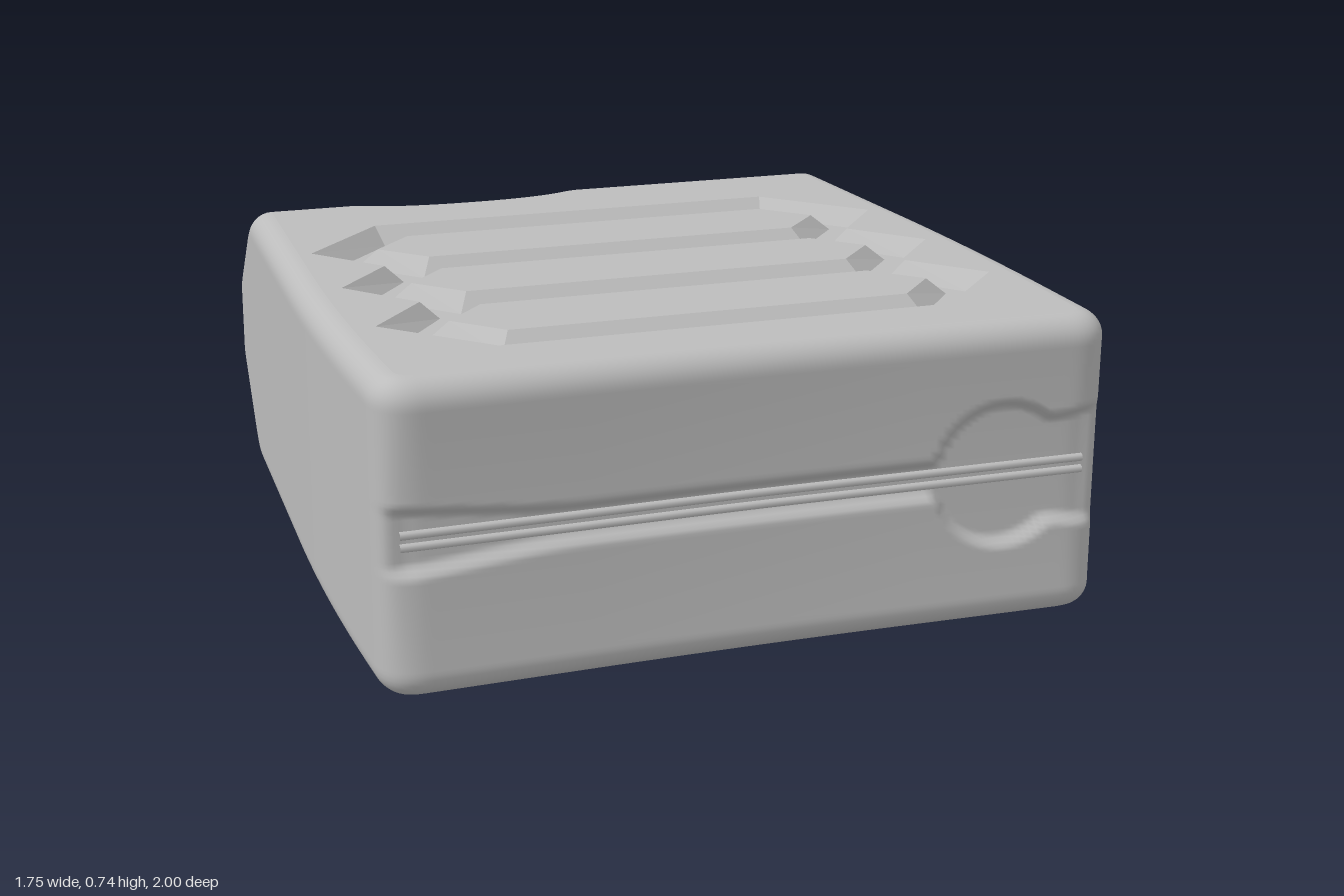
import * as THREE from 'three';
import { toCreasedNormals } from 'three/addons/utils/BufferGeometryUtils.js';
import { RoundedBoxGeometry } from 'three/addons/geometries/RoundedBoxGeometry.js';

const TOP = 0.735, MID = 0.3725, DEPTH = 0.045;
const V2 = (x, z) => new THREE.Vector2(x, z);
const smooth = THREE.MathUtils.smoothstep;

// Height of the upper face: flat, then sloping down to the handle end.
function height(z) {
  const e = 0.04, line = 0.447 + 0.9 * (z + 1), a = line - TOP;
  if (a >= e) return TOP;
  return a <= -e ? line : TOP - (e - a) ** 2 / (4 * e);
}

// Closed outline in (x, z) with softened corners; each corner is [x, z, cut].
function roundedLoop(corners, count) {
  const shape = new THREE.Shape(), n = corners.length;
  const toward = (a, b) => {
    const p = V2(a[0], a[1]), d = V2(b[0], b[1]).sub(p);
    return p.addScaledVector(d.normalize(), a[2]);
  };
  corners.forEach((c, i) => {
    const p = toward(c, corners[(i + n - 1) % n]), q = toward(c, corners[(i + 1) % n]);
    if (i) shape.lineTo(p.x, p.y); else shape.moveTo(p.x, p.y);
    shape.quadraticCurveTo(c[0], c[1], q.x, q.y);
  });
  shape.closePath();
  return shape.getSpacedPoints(count).slice(0, count);
}

// Skin between equally sized closed rings.
function skin(rings, flat) {
  const n = rings[0].length, index = [];
  for (let k = 0; k < rings.length - 1; k++) {
    for (let i = 0; i < n; i++) {
      const j = (i + 1) % n, a = k * n + i, b = k * n + j;
      index.push(a, b, a + n, b, b + n, a + n);
    }
  }
  let geo = new THREE.BufferGeometry().setFromPoints(rings.flat());
  geo.setIndex(index);
  if (flat) geo = geo.toNonIndexed();
  geo.computeVertexNormals();
  return geo;
}

// Splits flat triangles along the line z = c.
function cut(tris, c) {
  const out = [];
  for (const t of tris) {
    for (const s of [1, -1]) {
      const poly = [];
      t.forEach((p, i) => {
        const q = t[(i + 1) % 3], dp = s * (p.y - c), dq = s * (q.y - c);
        if (dp >= 0) poly.push(p);
        if (dp * dq < 0) poly.push(p.clone().lerp(q, dp / (dp - dq)));
      });
      for (let i = 1; i + 1 < poly.length; i++) out.push([poly[0], poly[i], poly[i + 1]]);
    }
  }
  return out;
}

// Sheet filling a contour with holes, lifted by a height rule; side is 1 for up, -1 for down.
function sheet(contour, holes, rule, side, cuts = []) {
  const all = [contour, ...holes].flat();
  let tris = THREE.ShapeUtils.triangulateShape(contour, holes).map(f => f.map(i => all[i]));
  for (const c of cuts) tris = cut(tris, c);
  const pos = [], nor = [];
  for (const [a, b, c] of tris) {
    const area = (b.x - a.x) * (c.y - a.y) - (b.y - a.y) * (c.x - a.x);
    if (Math.abs(area) < 1e-10) continue;
    for (const p of area * side > 0 ? [a, c, b] : [a, b, c]) {
      const slope = (rule(p.y + 1e-4) - rule(p.y - 1e-4)) / 2e-4;
      const n = new THREE.Vector3(0, side, -slope * side).normalize();
      pos.push(p.x, rule(p.y), p.y);
      nor.push(n.x, n.y, n.z);
    }
  }
  const geo = new THREE.BufferGeometry();
  geo.setAttribute('position', new THREE.Float32BufferAttribute(pos, 3));
  geo.setAttribute('normal', new THREE.Float32BufferAttribute(nor, 3));
  return geo;
}

// Stacking groove in the front: a narrow band that widens into a round pocket.
function dent(x, y) {
  const dy = Math.abs(y - MID);
  let w = 0.038 + 0.035 * smooth(-x, 0.4, 0.9);
  if (Math.abs(x - 0.6) < 0.168) w = Math.max(w, Math.sqrt(0.168 ** 2 - (x - 0.6) ** 2));
  if (x > 0.68) w = Math.max(w, 0.125 + 0.15 * Math.max(0, x - 0.74));
  const groove = 0.025 * (1 - smooth(dy, w - 0.014, w + 0.014));
  const waist = 0.01 * Math.max(0, 1 - (dy / 0.3) ** 2);
  return (groove + waist) * (1 - smooth(Math.abs(x), 0.8, 0.89));
}

// Wall along a loop with rounded upper and lower edges; also returns the inset loop.
function wall(loop, r, rows, rule) {
  const n = loop.length, steps = 8, rings = [];
  const inward = loop.map((p, i) => {
    const t = loop[(i + 1) % n].clone().sub(loop[(i + n - 1) % n]).normalize();
    return V2(-t.y, t.x);
  });
  const edge = (a, side) => loop.map((p, i) => {
    const q = p.clone().addScaledVector(inward[i], r * (1 - Math.cos(a)));
    const y = height(q.y) - r * (1 - Math.sin(a));
    return new THREE.Vector3(q.x, side > 0 ? y : 2 * MID - y, q.y);
  });
  for (let k = steps; k >= 0; k--) rings.push(edge(k / steps * Math.PI / 2, 1));
  const hi = edge(0, 1), lo = edge(0, -1);
  for (let k = 1; k < rows; k++) {
    rings.push(hi.map((p, i) => {
      const v = p.clone().lerp(lo[i], k / rows);
      if (rule) rule(v, inward[i]);
      return v;
    }));
  }
  for (let k = 0; k <= steps; k++) rings.push(edge(k / steps * Math.PI / 2, -1));
  return { geo: skin(rings), inset: loop.map((p, i) => p.clone().addScaledVector(inward[i], r)) };
}

// Zigzag outline around the three panels, mirrored left to right.
function zigzag(half, z0, z1, tip, valley) {
  const right = [[half, z0], [tip, -0.155], [valley, 0.027], [tip, 0.2], [valley, 0.382], [tip, 0.555], [half, z1]];
  const left = right.map(([x, z]) => [-x, z]).reverse();
  return [...right, ...left].map(([x, z]) => V2(x, z));
}
const hexagon = (half, tip, depth, z) =>
  [[-half, -depth], [half, -depth], [tip, 0], [half, depth], [-half, depth], [-tip, 0]].map(([x, d]) => V2(x, z + d));
const lift = (loop, y) => loop.map(p => new THREE.Vector3(p.x, y, p.y));

export function createModel() {
  const model = new THREE.Group();
  const plastic = new THREE.MeshStandardMaterial({ color: 0xbcbcbc });
  plastic.name = 'grey plastic';
  const add = (name, geo, parent = model) => {
    const mesh = new THREE.Mesh(geo, plastic);
    mesh.name = name;
    parent.add(mesh);
    return mesh;
  };

  // Outer wall and handle opening
  const outline = roundedLoop([
    [-0.815, -1, 0.1], [0.24, -1, 0.1], [0.355, -0.8, 0.07], [0.832, -0.8, 0.1], [0.88, 0.3, 0.4],
    [0.862, 1, 0.1], [0, 0.98, 0.4], [-0.868, 1, 0.1], [-0.886, 0.45, 0.4],
  ], 480);
  const outer = wall(outline, 0.06, 64, (v, n) => {
    if (v.z > 0.9) v.z -= dent(v.x, v.y) * Math.max(0, -n.y);
  });
  add('outerWall', outer.geo);
  const opening = [];
  for (let i = 0; i < 96; i++) {
    const a = -i / 96 * Math.PI * 2, c = Math.cos(a), s = Math.sin(a);
    opening.push(V2(-0.23 + 0.32 * Math.sign(c) * Math.abs(c) ** 0.85, -0.745 + 0.115 * Math.sign(s) * Math.abs(s) ** 0.85));
  }
  const handle = wall(opening, 0.045, 8);
  add('handleOpening', handle.geo);

  // Upper and lower faces, cut finely where they bend
  const bends = Array.from({ length: 10 }, (_, i) => -0.727 + i * 0.0105);
  const rim = zigzag(0.545, -0.4, 0.79, 0.765, 0.62);
  const floor = zigzag(0.53, -0.352, 0.752, 0.705, 0.572);
  add('upperFace', sheet(outer.inset, [handle.inset, rim], height, 1, bends));
  add('lowerFace', sheet(outer.inset, [handle.inset], z => 2 * MID - height(z), -1, bends));

  // Recess with three raised panels
  add('recessSides', skin([lift(floor, TOP - DEPTH), lift(rim, TOP)], true));
  add('recessFloor', sheet(floor, [], () => TOP - DEPTH, 1));
  for (const z of [-0.153, 0.201, 0.555]) {
    const panel = new THREE.Group();
    panel.name = 'panel';
    model.add(panel);
    const crown = hexagon(0.49, 0.595, 0.115, z);
    add('panelSides', skin([lift(crown, TOP - 0.002), lift(hexagon(0.515, 0.65, 0.158, z), TOP - DEPTH)], true), panel);
    add('panelTop', sheet(crown, [], () => TOP - 0.002, 1), panel);
  }

  // Twin seam ribs across the front
  for (const dy of [-0.014, 0.014]) {
    const path = new THREE.CatmullRomCurve3([-0.82, -0.4, 0, 0.4, 0.81].map(x =>
      new THREE.Vector3(x, MID + dy, 0.955 + 0.012 * Math.abs(x))));
    add('seamRib', new THREE.TubeGeometry(path, 40, 0.01, 8));
  }

  // Long feet underneath
  for (const x of [-0.75, 0.75]) {
    add('foot', new RoundedBoxGeometry(0.05, 0.03, 1.3, 4, 0.014)).position.set(x, 0.015, 0.13);
  }

  // Hollow threaded neck on a stepped collar, pointing backwards
  const neck = new THREE.Group();
  neck.name = 'neck';
  neck.position.set(0.6, MID, -0.78);
  neck.rotation.x = -Math.PI / 2;
  model.add(neck);
  const profile = [[0.175, -0.02], [0.175, 0.03], [0.165, 0.035], [0.165, 0.06], [0.122, 0.064], [0.116, 0.075],
    [0.116, 0.178], [0.11, 0.185], [0.097, 0.185], [0.092, 0.178], [0.092, 0.02], [0, 0.02]];
  add('neckTube', toCreasedNormals(new THREE.LatheGeometry(profile.map(p => V2(...p)), 48), 0.6), neck);
  const turns = Array.from({ length: 49 }, (_, i) => {
    const a = i / 48 * Math.PI * 4;
    return new THREE.Vector3(0.116 * Math.cos(a), 0.1 + 0.06 * i / 48, 0.116 * Math.sin(a));
  });
  add('thread', new THREE.TubeGeometry(new THREE.CatmullRomCurve3(turns), 120, 0.009, 6), neck);
  for (let i = 0; i < 8; i++) {
    const a = i / 8 * Math.PI * 2;
    const lug = add('collarLug', new THREE.BoxGeometry(0.02, 0.03, 0.04), neck);
    lug.position.set(0.162 * Math.cos(a), 0.045, 0.162 * Math.sin(a));
    lug.rotation.y = -a;
  }
  return model;
}
